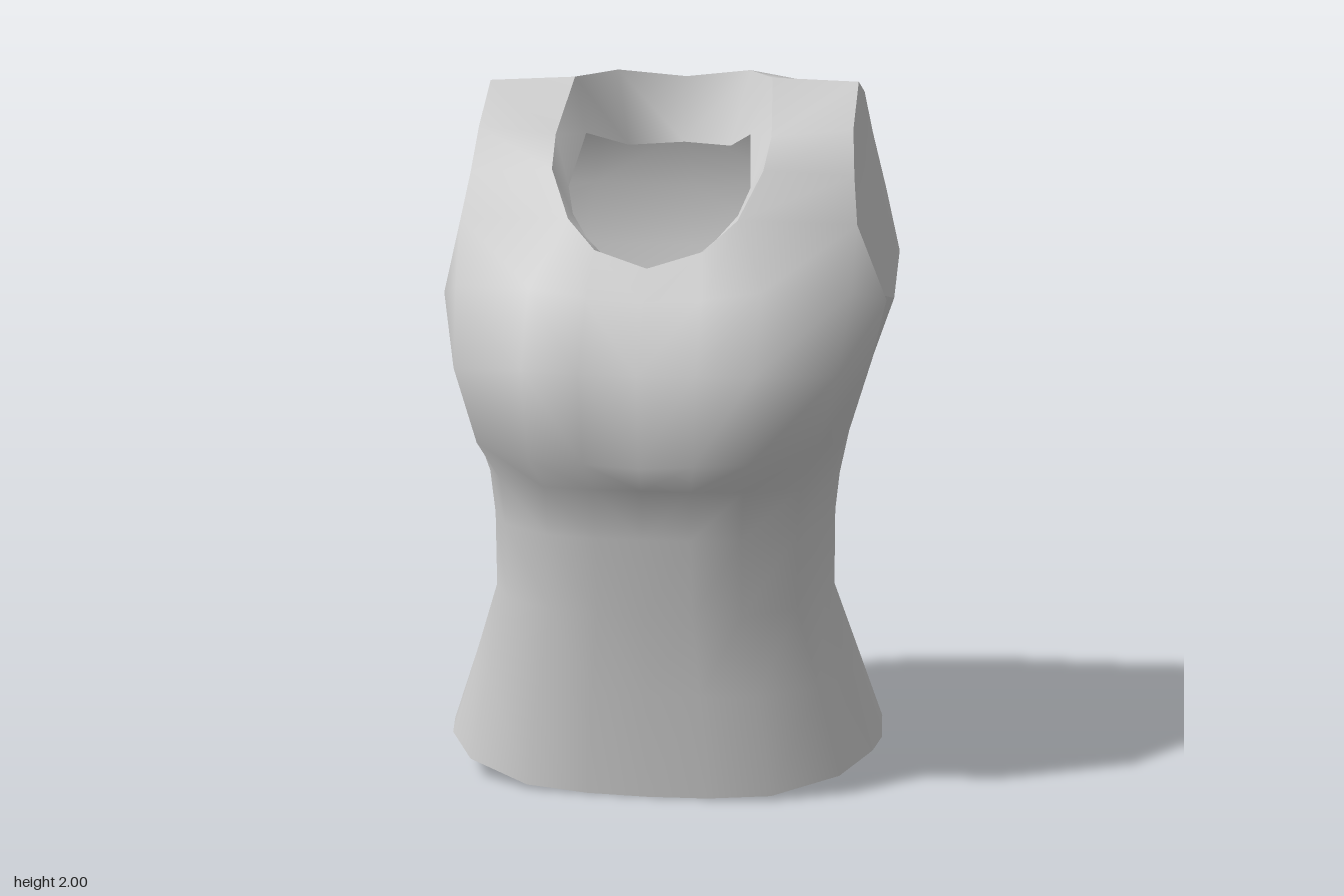
import * as THREE from 'three';
import { mergeVertices } from 'three/addons/utils/BufferGeometryUtils.js';

const fabric = new THREE.MeshStandardMaterial({ color: 0xcccccc, side: THREE.DoubleSide });
fabric.name = 'greyFabric';

// Collects triangles and their mirror images across x = 0
function builder() {
  const pos = [];
  const tri = (a, b, c) => {
    if (a === b || b === c || a === c) return;
    for (const p of [a, b, c]) pos.push(...p);
    for (const p of [a, c, b]) pos.push(-p[0] || 0, p[1], p[2]);
  };
  const grid = (rows) => {
    for (let i = 0; i + 1 < rows.length; i++) {
      for (let j = 0; j + 1 < rows[i].length; j++) {
        const a = rows[i][j], b = rows[i][j + 1], c = rows[i + 1][j + 1], d = rows[i + 1][j];
        tri(a, b, c);
        tri(a, c, d);
      }
    }
  };
  const mesh = (name) => {
    let g = new THREE.BufferGeometry();
    g.setAttribute('position', new THREE.Float32BufferAttribute(pos, 3));
    g = mergeVertices(g, 1e-4);
    g.computeVertexNormals();
    const m = new THREE.Mesh(g, fabric);
    m.name = name;
    return m;
  };
  return { tri, grid, mesh };
}

// Half cross-section from front centre round the left side to back centre
const SECTION = [[0, 1], [0.27, 0.99], [0.55, 0.94], [0.84, 0.7], [0.97, 0.34], [1, 0.05],
  [0.98, -0.3], [0.83, -0.72], [0.45, -1.01], [0, -1]];

// Ring with front, side and back heights, half width and front/back depths
function ring(yf, ys, yb, w, zf, zb) {
  return SECTION.map(([u, v]) => [
    u * w,
    ys + (v > 0 ? (yf - ys) * v * v : (yb - ys) * -v),
    v * (v > 0 ? zf : zb),
  ]);
}

export function createModel() {
  const group = new THREE.Group();
  group.name = 'tankTop';

  // Hem up to just below the bust
  const lower = [
    ring(0.005, 0.11, 0.165, 0.63, 0.36, 0.5),
    ring(0.3, 0.32, 0.33, 0.56, 0.375, 0.43),
    ring(0.53, 0.55, 0.49, 0.487, 0.395, 0.32),
    ring(0.75, 0.76, 0.74, 0.487, 0.425, 0.33),
    ring(0.89, 0.88, 0.9, 0.5, 0.445, 0.35),
  ];
  // Bust rings and the ring that touches the armhole
  const underBust = [[0, 0.96, 0.495], [0.15, 0.97, 0.505], [0.3, 0.98, 0.505], [0.47, 1.0, 0.38], [0.525, 1.0, 0.16],
    [0.525, 1.0, 0.02], [0.515, 1.0, -0.12], [0.45, 1.03, -0.29], [0.24, 1.05, -0.385], [0, 1.05, -0.375]];
  const bust = [[0, 1.21, 0.515], [0.16, 1.215, 0.52], [0.315, 1.22, 0.52], [0.525, 1.21, 0.41], [0.59, 1.2, 0.14],
    [0.575, 1.2, 0.01], [0.58, 1.2, -0.14], [0.54, 1.25, -0.36], [0.28, 1.26, -0.445], [0, 1.26, -0.435]];
  const chest = [[0, 1.4, 0.405], [0.16, 1.41, 0.4], [0.32, 1.43, 0.385], [0.55, 1.42, 0.27], [0.63, 1.38, 0.08],
    [0.61, 1.385, 0], [0.635, 1.36, -0.15], [0.63, 1.47, -0.425], [0.32, 1.47, -0.495], [0, 1.47, -0.488]];

  // Neck edge, front centre to back centre, and the lower edge of its facing
  const neck = [[0, 1.485, 0.35], [0.15, 1.53, 0.315], [0.235, 1.61, 0.255], [0.295, 1.74, 0.175],
    [0.305, 1.83, 0.07], [0.285, 1.985, -0.115], [0.195, 2.0, -0.32], [0, 1.98, -0.37]];
  const facing = [[0, 1.46, 0.335], [0.11, 1.5, 0.315], [0.18, 1.56, 0.27], [0.23, 1.62, 0.21],
    [0.255, 1.69, 0.14], [0.235, 1.83, -0.02], [0.15, 1.785, -0.235], [0, 1.79, -0.33]];

  // Upper armhole edge, from the front over the shoulder and down the back
  const arm = [[0.555, 1.597, 0.185], [0.54, 1.724, 0.118], [0.53, 1.85, 0.05], [0.53, 1.975, -0.105],
    [0.53, 1.94, -0.31], [0.545, 1.82, -0.43], [0.585, 1.65, -0.465]];

  const body = builder();
  body.grid([...lower, underBust, bust, chest]);
  // Upper front
  body.grid([chest.slice(0, 4), [neck[0], neck[1], neck[2], arm[0]]]);
  body.tri(chest[3], chest[4], arm[0]);
  body.tri(chest[4], chest[5], arm[0]);
  // Shoulder straps
  body.grid([0, 1, 2, 3, 4].map((i) => [neck[i + 2], arm[i]]));
  // Upper back
  body.grid([
    [neck[7], neck[6], arm[4]],
    [[0, 1.82, -0.457], [0.27, 1.84, -0.457], arm[5]],
    [[0, 1.65, -0.495], [0.3, 1.655, -0.5], arm[6]],
    [chest[9], chest[8], chest[7]],
  ]);
  group.add(body.mesh('body'));

  // Inner band of the neckline
  const band = builder();
  band.grid([neck, facing]);
  group.add(band.mesh('neckFacing'));

  // Flat panels closing the armholes
  const caps = builder();
  const loop = [arm[0], chest[5], chest[6], chest[7], ...arm.slice(1).reverse()];
  const centre = [0, 1, 2].map((k) => loop.reduce((s, p) => s + p[k], 0) / loop.length);
  loop.forEach((p, i) => caps.tri(centre, p, loop[(i + 1) % loop.length]));
  group.add(caps.mesh('armholePanels'));

  return group;
}
